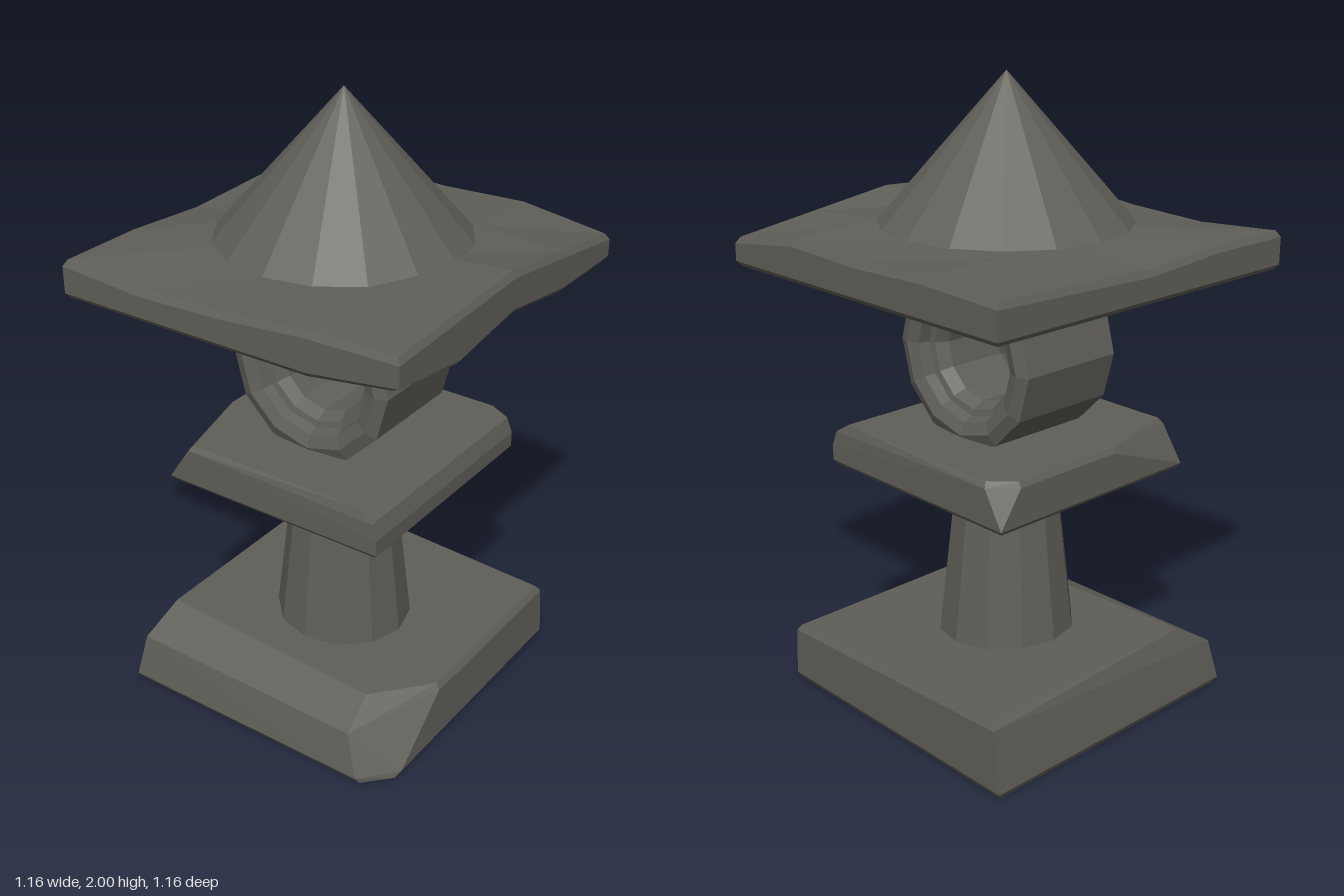
import * as THREE from 'three';
import { ConvexGeometry } from 'three/addons/geometries/ConvexGeometry.js';

const stone = new THREE.MeshStandardMaterial({ color: 0x605e58, flatShading: true });

function part(group, name, geometry, y = 0) {
  const mesh = new THREE.Mesh(geometry, stone);
  mesh.name = name;
  mesh.position.y = y;
  group.add(mesh);
  return mesh;
}

// Chipped block: convex hull around its corner points
const block = (corners) => new ConvexGeometry(corners.map((c) => new THREE.Vector3(...c)));

// Four corners of a square ring at height y
const square = (r, y) => [[-r, y, -r], [r, y, -r], [r, y, r], [-r, y, r]];

// Roof slab: a box whose upper face follows a grid of heights (rows run back to front)
function roofGeometry() {
  const heights = [
    [1.53, 1.54, 1.53, 1.54, 1.50],
    [1.52, 1.54, 1.54, 1.555, 1.54],
    [1.51, 1.54, 1.54, 1.56, 1.58],
    [1.53, 1.54, 1.54, 1.555, 1.565],
    [1.53, 1.51, 1.52, 1.545, 1.55],
  ];
  const geo = new THREE.BoxGeometry(4, 3, 4, 4, 3, 4);
  const p = geo.attributes.position;
  for (let k = 0; k < p.count; k++) {
    const i = Math.round(p.getX(k)) + 2;
    const j = Math.round(p.getZ(k)) + 2;
    const layer = Math.round(p.getY(k) + 1.5);
    const top = heights[j][i];
    const worn = i === 4 && (j === 2 || j === 4); // underside chips on the left edge
    const reach = layer === 0 || layer === 3 ? 0.568 : 0.58;
    const y = [1.41, worn ? 1.465 : 1.425, top - 0.02, top][layer];
    let x = (i - 2) / 2 * reach;
    let z = (j - 2) / 2 * reach;
    if (layer === 0 && worn) {
      x -= 0.06;
      if (j === 4) z -= 0.06;
    }
    p.setXYZ(k, x, y, z);
  }
  geo.computeVertexNormals();
  return geo;
}

export function createModel() {
  const lantern = new THREE.Group();
  lantern.name = 'stoneLantern';

  // Base with a broad worn slope along the front and a broken front corner
  part(lantern, 'base', block([
    [-0.485, 0, -0.485], [0.475, 0, -0.485], [0.475, 0, 0.40], [0.40, 0, 0.48], [-0.485, 0, 0.48],
    [-0.495, 0.02, -0.497], [0.487, 0.02, -0.497], [0.487, 0.02, 0.38], [0.39, 0.02, 0.493], [-0.495, 0.02, 0.493],
    [-0.475, 0.16, 0.46], [0.34, 0.15, 0.46],
    [-0.47, 0.22, -0.497], [0.478, 0.18, -0.497], [0.478, 0.18, 0.16],
    [-0.45, 0.242, -0.485], [0.465, 0.2, -0.485], [0.465, 0.2, 0.15],
    [-0.45, 0.242, 0.33], [0.32, 0.206, 0.33],
  ]));

  // Tapered twelve-sided column
  part(lantern, 'column', new THREE.CylinderGeometry(0.158, 0.228, 0.62, 12), 0.47);

  // Middle slab with a rounded left edge and chipped right corners
  part(lantern, 'middleSlab', block([
    ...square(0.377, 0.766), ...square(0.388, 0.78),
    [0.388, 0.83, -0.388], [0.388, 0.83, 0.388], [0.37, 0.88, -0.385], [0.37, 0.88, 0.385],
    [0.32, 0.912, -0.375], [0.32, 0.912, 0.375],
    [-0.388, 0.895, 0.08], [-0.388, 0.895, -0.31], [-0.31, 0.895, 0.388], [-0.32, 0.895, -0.388],
    [-0.377, 0.912, 0.09], [-0.377, 0.912, -0.31], [-0.30, 0.912, 0.375], [-0.31, 0.912, -0.375],
  ]));

  // Round light chamber, open front to back, with stepped rims
  const half = [[0.155, 0.10], [0.175, 0.14], [0.195, 0.145], [0.205, 0.18], [0.245, 0.195], [0.283, 0.18]];
  const mirrored = half.map(([r, z]) => [r, -z]).reverse();
  const loop = [...half, ...mirrored, half[0]].reverse().map(([r, z]) => new THREE.Vector2(r, z));
  const chamber = part(lantern, 'lightChamber', new THREE.LatheGeometry(loop, 12), 1.163);
  chamber.rotation.x = Math.PI / 2;
  chamber.material = stone.clone();
  chamber.material.side = THREE.DoubleSide;

  // Uneven roof slab and its sixteen-sided cap
  part(lantern, 'roofSlab', roofGeometry());
  part(lantern, 'roofCap', new THREE.ConeGeometry(0.39, 0.445, 16), 1.7775);

  return lantern;
}
